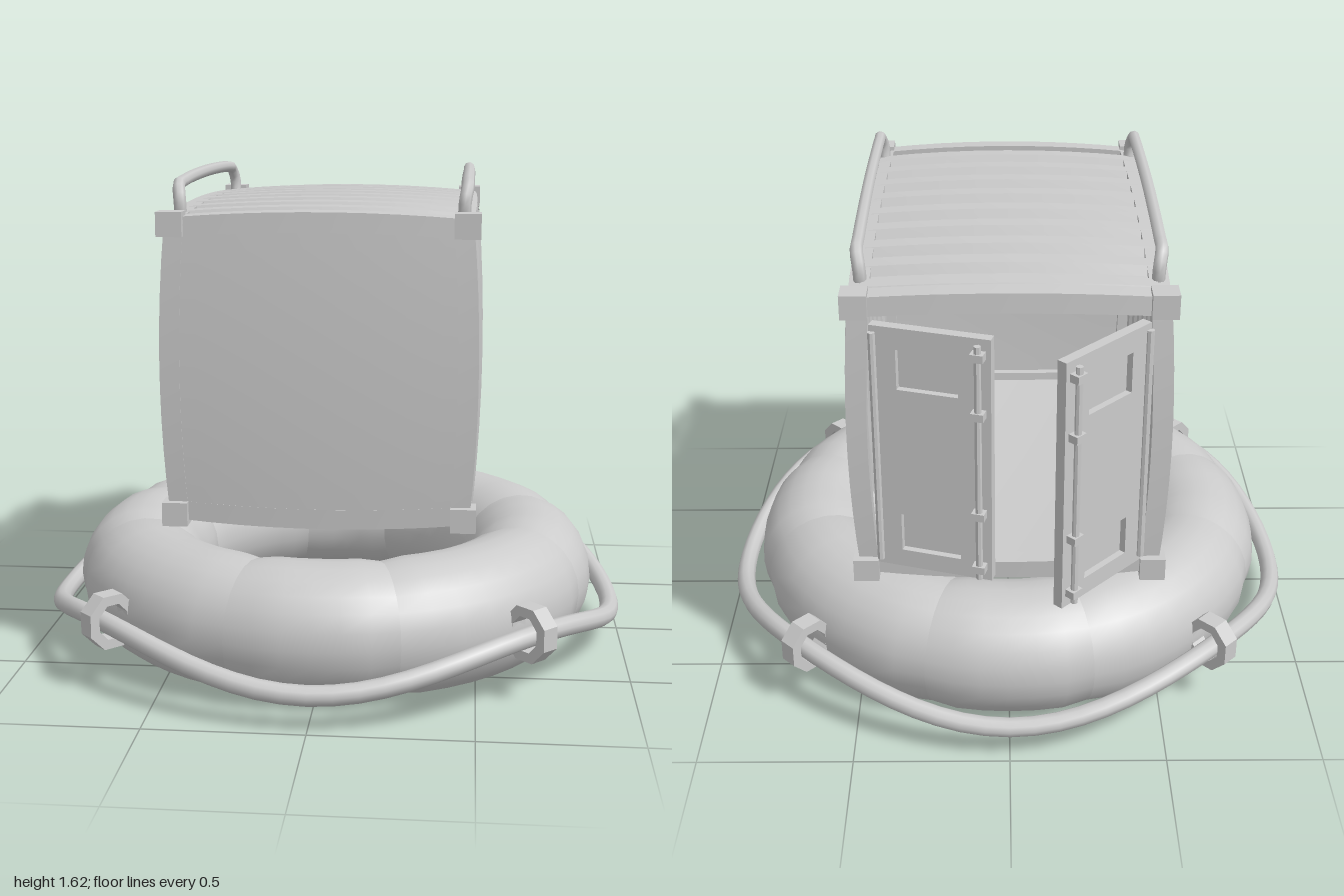
import * as THREE from 'three';
import { toCreasedNormals } from 'three/addons/utils/BufferGeometryUtils.js';

const material = new THREE.MeshStandardMaterial({ color: 0xcccccc, side: THREE.DoubleSide });

function add(parent, name, geometry, crease = 0.6) {
  const mesh = new THREE.Mesh(crease ? toCreasedNormals(geometry, crease) : geometry, material);
  mesh.name = name;
  parent.add(mesh);
  return mesh;
}

// Move every vertex by a rule
function reshape(geometry, rule) {
  const pos = geometry.attributes.position;
  const p = new THREE.Vector3();
  for (let i = 0; i < pos.count; i++) {
    p.fromBufferAttribute(pos, i);
    rule(p, i);
    pos.setXYZ(i, p.x, p.y, p.z);
  }
  geometry.computeVertexNormals();
  return geometry;
}

// Puffs the container outwards between its corners
function bulge(geometry) {
  return reshape(geometry, (p) => {
    const u = p.x / 0.46, v = (p.y - 1.02) / 0.47, w = (p.z + 0.055) / 0.665;
    const a = Math.max(0, 1 - u * u), b = Math.max(0, 1 - v * v), c = Math.max(0, 1 - w * w);
    p.x += u * (0.022 * b + 0.01 * c);
    p.y += v * (0.02 * a + 0.018 * c);
    p.z += w * (0.014 * a + 0.014 * b);
  });
}

function box(sx, sy, sz, x, y, z) {
  const n = (s) => Math.max(1, Math.round(s / 0.1));
  return new THREE.BoxGeometry(sx, sy, sz, n(sx), n(sy), n(sz)).translate(x, y, z);
}

// Sheet with trapezoid ribs running up y, facing +x, length along z
function corrugated(length, height, depth, ribs) {
  const cols = ribs * 4, step = [0, 0.42, 0.52, 0.9];
  const sheet = new THREE.PlaneGeometry(length, height, cols, 8);
  reshape(sheet, (p, i) => {
    const col = i % (cols + 1), k = col % 4;
    p.x = ((Math.floor(col / 4) + step[k]) / ribs - 0.5) * length;
    p.z = k > 1 ? depth : 0;
  });
  return sheet.rotateY(Math.PI / 2);
}

function buildLifebuoy() {
  const group = new THREE.Group();
  group.name = 'lifebuoy';
  // Inflated panels, narrow on the axes and wide between, pinched at the seams
  for (let i = 0; i < 8; i++) {
    const wide = i % 2 === 1;
    const arc = THREE.MathUtils.degToRad(wide ? 54 : 36);
    const start = Math.floor(i / 2) * Math.PI / 2 + THREE.MathUtils.degToRad(wide ? 18 : -18);
    const segments = wide ? 8 : 6;
    const geo = new THREE.TorusGeometry(0.68, 0.217, 24, segments, arc);
    reshape(geo, (p) => {
      const a = Math.atan2(p.y, p.x);
      const edge = Math.min(a, arc - a) < 0.01;
      const s = edge ? 0.95 : 1;
      const r = 0.68 + (Math.hypot(p.x, p.y) - 0.68) * s;
      p.set(Math.cos(a) * r, Math.sin(a) * r, p.z * s);
    });
    geo.rotateZ(start).rotateX(-Math.PI / 2).translate(0, 0.217, 0);
    add(group, 'buoyPanel', geo, 0.9);
  }

  // Rope sagging between four straps
  const points = [];
  for (let i = 0; i < 40; i++) {
    const a = i / 40 * Math.PI * 2;
    points.push(new THREE.Vector3(Math.cos(a) * 0.967, 0.165 - 0.055 * Math.cos(4 * a), Math.sin(a) * 0.967));
  }
  const rope = new THREE.CatmullRomCurve3(points, true);
  add(group, 'rope', new THREE.TubeGeometry(rope, 80, 0.032, 10, true), 0);

  const strap = new THREE.Shape();
  const hole = new THREE.Path();
  for (let i = 0; i < 8; i++) {
    const a = (i + 0.5) * Math.PI / 4;
    const method = i ? 'lineTo' : 'moveTo';
    strap[method](Math.cos(a) * 0.09, Math.sin(a) * 0.094);
    hole[method](Math.cos(a) * 0.055, Math.sin(a) * 0.06);
  }
  strap.holes.push(hole);
  for (let i = 0; i < 4; i++) {
    const geo = new THREE.ExtrudeGeometry(strap, { depth: 0.06, bevelEnabled: false });
    geo.translate(0.945, 0.22, -0.03).rotateY(Math.PI / 4 + i * Math.PI / 2);
    add(group, 'ropeStrap', geo);
  }
  return group;
}

// Door hinged at its origin, reaching along +x with its outside facing -z
function buildDoor() {
  const group = new THREE.Group();
  group.name = 'door';
  const rect = (Kind, x0, y0, x1, y1) => new Kind([[x0, y0], [x1, y0], [x1, y1], [x0, y1]]
    .map(([x, y]) => new THREE.Vector2(x, y)));
  const face = rect(THREE.Shape, 0, 0.61, 0.37, 1.43);
  face.holes.push(rect(THREE.Path, 0.08, 0.67, 0.27, 0.8), rect(THREE.Path, 0.08, 1.23, 0.27, 1.36));
  add(group, 'doorFace', new THREE.ExtrudeGeometry(face, { depth: 0.022, bevelEnabled: false }).translate(0, 0, -0.03));
  add(group, 'doorBack', box(0.37, 0.82, 0.012, 0.185, 1.02, -0.003));
  // Locking bar and its brackets, and the hinge pin
  add(group, 'lockBar', new THREE.CylinderGeometry(0.011, 0.011, 0.79, 8).translate(0.335, 1.02, -0.048));
  for (const y of [0.66, 0.85, 1.19, 1.38]) add(group, 'barBracket', box(0.04, 0.025, 0.035, 0.335, y, -0.045));
  add(group, 'hingePin', new THREE.CylinderGeometry(0.012, 0.012, 0.78, 8).translate(0.01, 1.02, -0.035));
  return group;
}

function buildContainer() {
  const group = new THREE.Group();
  group.name = 'container';
  const Z = -0.055;

  // Floor and plain front wall
  add(group, 'floor', bulge(box(0.9, 0.035, 1.32, 0, 0.56, Z)));
  add(group, 'frontWall', bulge(box(0.93, 0.94, 0.035, 0, 1.02, 0.597)));

  // Corrugated sides and roof
  const wall = () => corrugated(1.24, 0.87, 0.028, 9);
  add(group, 'leftWall', bulge(wall().translate(0.446, 1.02, Z)), 0.4);
  add(group, 'rightWall', bulge(wall().rotateZ(Math.PI).translate(-0.446, 1.02, Z)), 0.4);
  add(group, 'roof', bulge(wall().rotateZ(Math.PI / 2).translate(0, 1.468, Z)), 0.4);

  // Edge frame and corner blocks
  for (const s of [-1, 1]) {
    for (const t of [-1, 1]) {
      add(group, 'longRail', bulge(box(0.06, 0.06, 1.33, s * 0.44, 1.02 + t * 0.444, Z)));
      add(group, 'post', bulge(box(0.06, 0.9, 0.06, s * 0.44, 1.02, Z + t * 0.642)));
      add(group, 'crossRail', bulge(box(0.88, 0.06, 0.06, 0, 1.02 + s * 0.444, Z + t * 0.64)));
      for (const w of [-1, 1]) {
        add(group, 'cornerBlock', box(0.08, 0.076, 0.078, s * 0.452, 1.02 + t * 0.455, Z + w * 0.662));
      }
    }
    // Roof handrail, rounded at the bends
    const path = [[0.44, 1.48, 0.5], [0.442, 1.54, 0.505], [0.45, 1.582, 0.475], [0.45, 1.592, 0.4],
      [0.452, 1.602, Z], [0.45, 1.592, -0.51], [0.45, 1.582, -0.585], [0.442, 1.54, -0.615], [0.44, 1.48, -0.61]];
    const curve = new THREE.CatmullRomCurve3(path.map(([x, y, z]) => new THREE.Vector3(s * x, y, z)));
    add(group, 'handrail', new THREE.TubeGeometry(curve, 50, 0.02, 8), 0);
  }

  // Rear doors, one wide open and one ajar
  const rightDoor = buildDoor();
  rightDoor.name = 'rightDoor';
  rightDoor.position.set(-0.39, 0, -0.735);
  rightDoor.rotation.y = 0.8;
  const leftDoor = buildDoor();
  leftDoor.name = 'leftDoor';
  leftDoor.scale.x = -1;
  leftDoor.position.set(0.4, 0, -0.74);
  leftDoor.rotation.y = -0.29;
  group.add(rightDoor, leftDoor);
  return group;
}

export function createModel() {
  const model = new THREE.Group();
  model.name = 'containerOnLifebuoy';
  model.add(buildLifebuoy(), buildContainer());
  return model;
}
